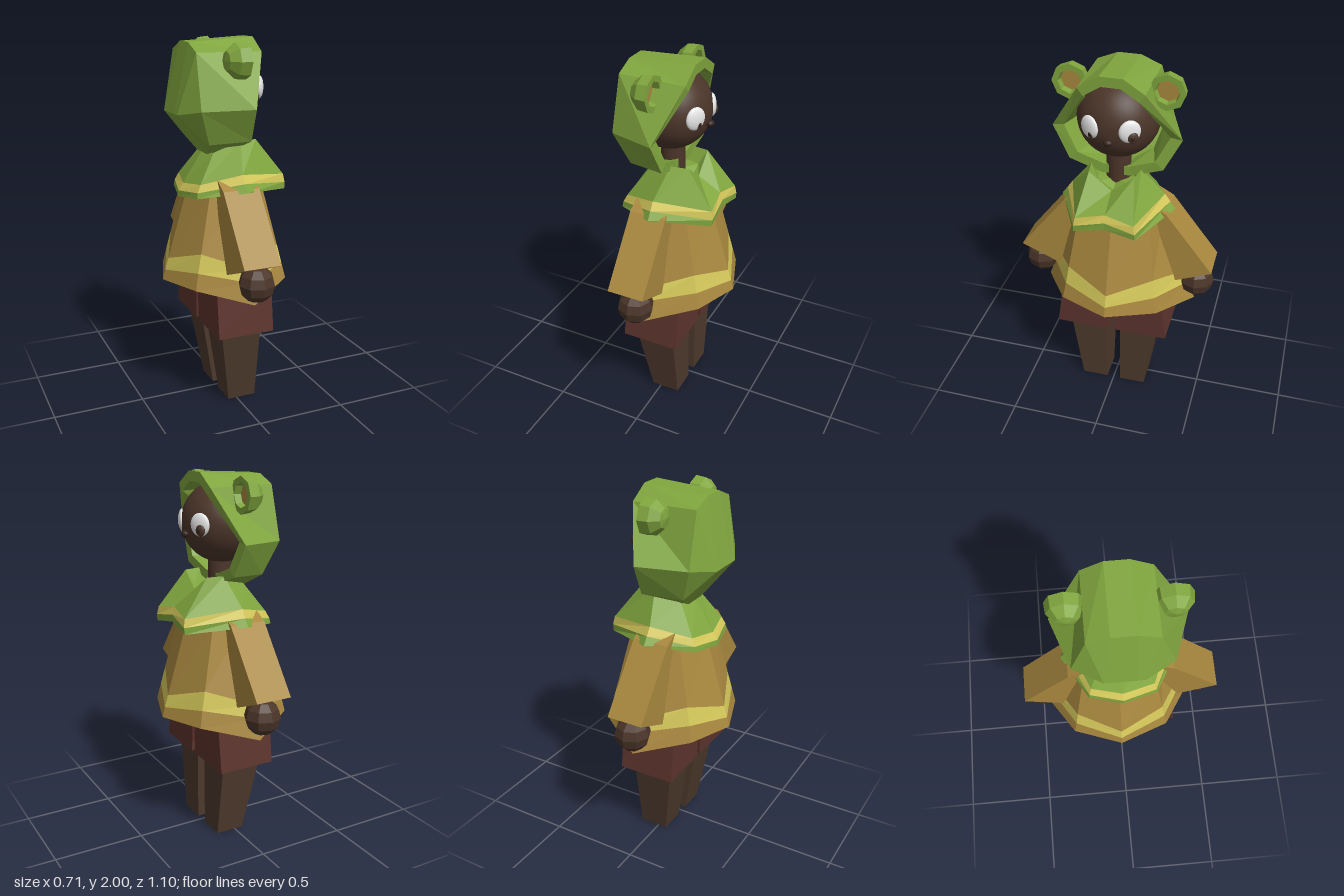
import * as THREE from 'three';

const paint = (name, color) => {
  const m = new THREE.MeshStandardMaterial({ color });
  m.name = name;
  return m;
};
const green = paint('hood green', 0x80a53e);
const ochre = paint('coat ochre', 0xa9883f);
const yellow = paint('trim yellow', 0xd3c75a);
const maroon = paint('shorts maroon', 0x5c332d);
const brown = paint('trouser brown', 0x4d392c);
const skin = paint('skin brown', 0x4b3529);
const white = paint('eye white', 0xe9e9e9);
const dark = paint('nose dark', 0x35241d);

// Faceted normals
function facet(geo) {
  const g = geo.index ? geo.toNonIndexed() : geo;
  g.computeVertexNormals();
  return g;
}

// Completes a half ring by mirroring it across x = 0
const ring = (half) =>
  half.concat(half.filter((p) => p[0] > 0).reverse().map(([x, y, z]) => [-x, y, z]));

// Flat-shaded skin through rings of equal length, with optional end caps
function loft(rings, capStart = false, capEnd = false) {
  const out = [];
  const tri = (a, b, c) => out.push(...a, ...b, ...c);
  const n = rings[0].length;
  for (let r = 0; r + 1 < rings.length; r++) {
    for (let i = 0; i < n; i++) {
      const j = (i + 1) % n, lo = rings[r], hi = rings[r + 1];
      tri(lo[i], lo[j], hi[j]);
      tri(lo[i], hi[j], hi[i]);
    }
  }
  const cap = (pts, flip) => {
    const c = [0, 1, 2].map((k) => pts.reduce((s, p) => s + p[k], 0) / n);
    for (let i = 0; i < n; i++) {
      const a = pts[i], b = pts[(i + 1) % n];
      flip ? tri(c, b, a) : tri(c, a, b);
    }
  };
  if (capStart) cap(rings[0], true);
  if (capEnd) cap(rings[rings.length - 1], false);
  const g = new THREE.BufferGeometry();
  g.setAttribute('position', new THREE.Float32BufferAttribute(out, 3));
  g.computeVertexNormals();
  return g;
}

const rect = (y, x0, x1, z0, z1) => [[x0, y, z1], [x1, y, z1], [x1, y, z0], [x0, y, z0]];

// Eight-sided coat ring: front and back, diagonals, sides
const coatRing = (yFront, zFront, yDiag, xDiag, zDiag, ySide, xSide) => ring([
  [0, yFront, zFront], [xDiag, yDiag, zDiag], [xSide, ySide, 0],
  [xDiag, yDiag, -zDiag], [0, yFront, -zFront],
]);

export function createModel() {
  const model = new THREE.Group();
  model.name = 'hoodedFigure';
  const body = new THREE.Group();
  body.name = 'figure';
  body.rotation.y = Math.PI / 2; // the figure looks along +x
  model.add(body);

  const add = (name, geo, mat, x = 0, y = 0, z = 0) => {
    const m = new THREE.Mesh(geo, mat);
    m.name = name;
    m.position.set(x, y, z);
    body.add(m);
    return m;
  };

  // Coat with a yellow trim above the hem
  const hem = coatRing(0.70, 0.357, 0.71, 0.265, 0.264, 0.65, 0.432);
  const trimLow = coatRing(0.755, 0.342, 0.80, 0.25, 0.245, 0.76, 0.395);
  const trimHigh = coatRing(0.82, 0.322, 0.90, 0.237, 0.222, 0.83, 0.37);
  const chest = coatRing(1.22, 0.203, 1.22, 0.192, 0.15, 1.22, 0.235);
  const shoulders = coatRing(1.36, 0.1, 1.36, 0.08, 0.07, 1.36, 0.11);
  add('coatHem', loft([hem, trimLow], true), ochre, 0.016);
  add('coatTrim', loft([trimLow, trimHigh]), yellow, 0.016);
  add('coatBody', loft([trimHigh, chest, shoulders], false, true), ochre, 0.016);

  // Cape with raised collar, front notch and yellow trim
  const collar = ring([[0, 1.375, 0.14], [0.12, 1.47, 0.135], [0.135, 1.47, 0.04], [0.1, 1.41, -0.1], [0, 1.40, -0.13]]);
  const capeHigh = ring([[0, 1.305, 0.265], [0.155, 1.275, 0.285], [0.255, 1.315, 0], [0.165, 1.26, -0.2], [0, 1.24, -0.235]]);
  const capeLow = ring([[0, 1.265, 0.28], [0.162, 1.23, 0.293], [0.285, 1.272, 0], [0.175, 1.22, -0.22], [0, 1.20, -0.262]]);
  const capeHem = ring([[0, 1.225, 0.28], [0.165, 1.195, 0.29], [0.315, 1.23, 0], [0.18, 1.19, -0.225], [0, 1.17, -0.265]]);
  const capeUnder = ring([[0, 1.24, 0.18], [0.12, 1.23, 0.18], [0.2, 1.24, 0], [0.12, 1.22, -0.15], [0, 1.22, -0.17]]);
  const collarInside = ring([[0, 1.36, 0.1], [0.08, 1.40, 0.1], [0.1, 1.40, 0.03], [0.07, 1.38, -0.07], [0, 1.37, -0.09]]);
  add('capeHem', loft([capeUnder, capeHem, capeLow], true), green);
  add('capeTrim', loft([capeLow, capeHigh]), yellow);
  add('capeBody', loft([capeHigh, collar, collarInside], false, true), green);

  // Hood shell: back ridge, back ring, rim, then the inside
  const rim = ring([[0.08, 1.42, 0.04], [0.25, 1.485, 0.05], [0.34, 1.66, 0.035], [0.17, 1.93, 0.14], [0.06, 2.0, 0.14]]);
  const hoodBack = ring([[0.07, 1.40, -0.125], [0.19, 1.47, -0.16], [0.25, 1.65, -0.225], [0.17, 1.935, -0.22], [0.06, 1.98, -0.22]]);
  const ridge = hoodBack.map(([x]) => [THREE.MathUtils.clamp(x, -0.1, 0.1), 1.62, -0.3]);
  const shrink = (pts, k, dz) => pts.map(([x, y, z]) => [x * k, 1.71 + (y - 1.71) * k, z + dz]);
  const rimInside = shrink(rim, 0.82, 0);
  const backInside = shrink(hoodBack, 0.84, 0.03);
  add('hood', loft([ridge, hoodBack, rim, rimInside, backInside], false, true), green);

  // Head, neck and face
  add('head', new THREE.SphereGeometry(0.215, 40, 28), skin, 0, 1.737, -0.02);
  add('neck', new THREE.CylinderGeometry(0.065, 0.065, 0.24, 20), skin, 0, 1.47, -0.01);
  add('nose', new THREE.SphereGeometry(0.024, 16, 12), dark, 0, 1.685, 0.198).scale.set(1, 0.75, 0.85);

  for (const s of [-1, 1]) {
    const side = s > 0 ? 'left' : 'right';

    // Eye looking slightly to one side
    const eye = add(side + 'EyeWhite', new THREE.SphereGeometry(1, 24, 16), white, s * 0.101, 1.742, 0.162);
    eye.scale.set(0.056, 0.06, 0.022);
    eye.rotation.y = s * 0.5;
    const iris = add(side + 'Iris', new THREE.SphereGeometry(1, 20, 12), skin, s * 0.107 + 0.013, 1.716, 0.171);
    iris.scale.set(0.027, 0.03, 0.014);
    iris.rotation.y = s * 0.5;
    const pupil = add(side + 'Pupil', new THREE.SphereGeometry(1, 16, 10), dark, s * 0.108 + 0.013, 1.716, 0.179);
    pupil.scale.set(0.014, 0.016, 0.009);
    pupil.rotation.y = s * 0.5;

    // Cupped round ear
    const earProfile = [[0, -0.1], [0.05, -0.09], [0.09, -0.045], [0.096, 0.012], [0.064, 0.012], [0.058, -0.03]]
      .map(([r, y]) => new THREE.Vector2(r, y));
    const ear = add(side + 'Ear', facet(new THREE.LatheGeometry(earProfile, 8)), green, s * 0.247, 1.895, 0);
    ear.rotation.x = Math.PI / 2;
    add(side + 'EarLining', new THREE.CircleGeometry(0.062, 8), ochre, s * 0.247, 1.895, -0.025);

    // Wide sleeve and round hand
    const outline = [[0.19, 1.29], [0.28, 1.24], [0.543, 0.90], [0.325, 0.806], [0.17, 1.19]];
    const sleeve = new THREE.Shape(outline.map(([x, y]) => new THREE.Vector2(s * x, y)));
    add(side + 'Sleeve', new THREE.ExtrudeGeometry(sleeve, { depth: 0.203, bevelEnabled: false }), ochre, 0, 0, -0.12);
    add(side + 'Hand', facet(new THREE.SphereGeometry(0.098, 8, 6)), skin, s * 0.452, 0.785, -0.008);

    // Shorts and tapered leg
    const span = (y, a, b, z0, z1) => rect(y, Math.min(s * a, s * b), Math.max(s * a, s * b), z0, z1);
    add(side + 'ShortsLeg', loft([span(0.44, 0.02, 0.32, -0.16, 0.16), span(0.74, 0, 0.28, -0.16, 0.16)], true, true), maroon);
    add(side + 'Leg', loft([span(0, 0.04, 0.19, -0.05, 0.112), span(0.48, 0.04, 0.262, -0.125, 0.112)], true, true), brown);
  }
  return model;
}
